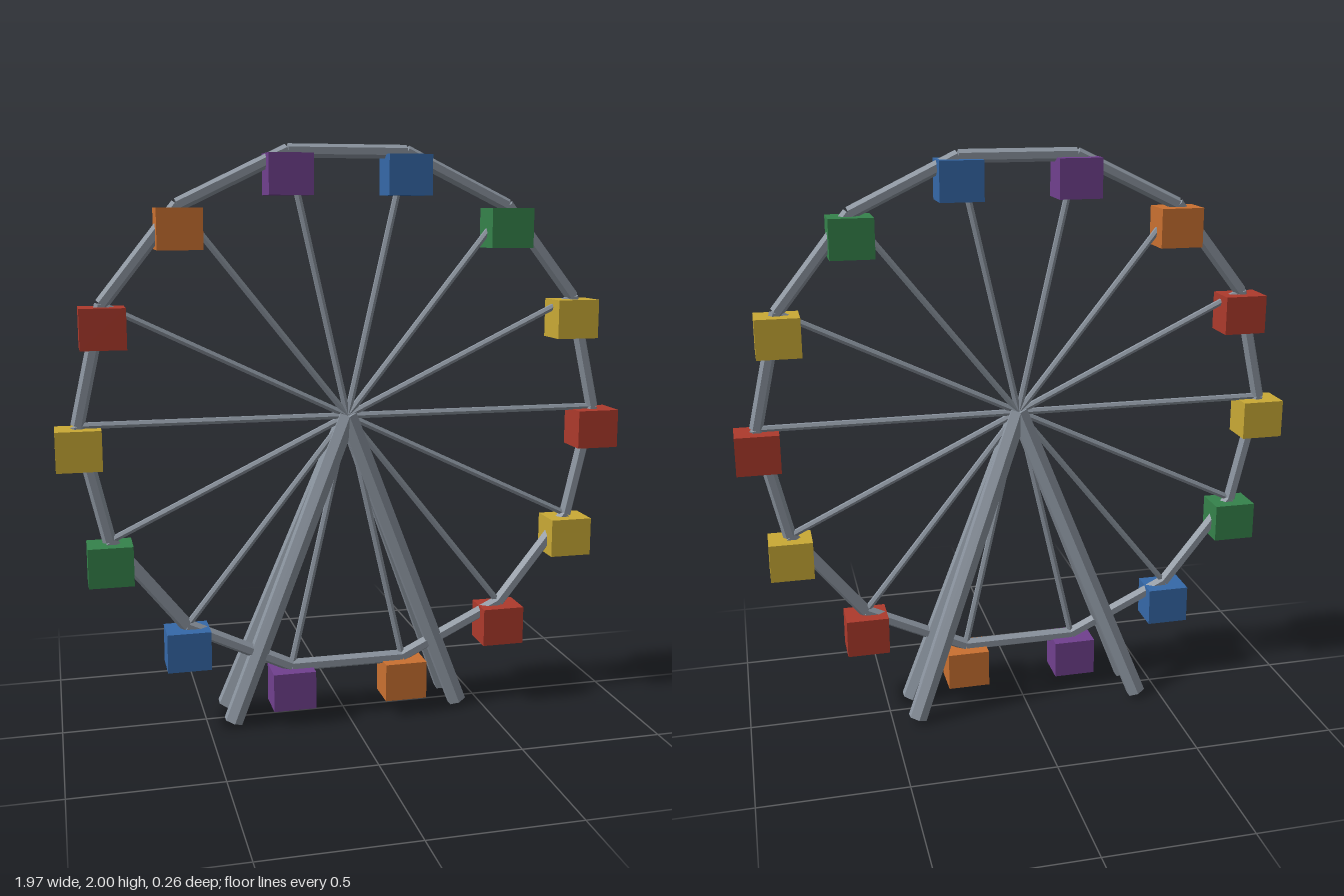
import * as THREE from 'three';

const COUNT = 14, RADIUS = 0.91;
const HUB = new THREE.Vector3(0, 1.09, 0.068);

function material(name, color) {
  const m = new THREE.MeshStandardMaterial({ color });
  m.name = name;
  m.flatShading = true;
  return m;
}

// six-sided bar between two points, turned about its own axis by roll
function bar(name, a, b, radius, mat, roll = 0) {
  const dir = b.clone().sub(a);
  const geo = new THREE.CylinderGeometry(radius, radius, dir.length(), 6);
  geo.rotateY(roll);
  const mesh = new THREE.Mesh(geo, mat);
  mesh.name = name;
  mesh.position.copy(a).add(b).multiplyScalar(0.5);
  mesh.quaternion.setFromUnitVectors(new THREE.Vector3(0, 1, 0), dir.normalize());
  return mesh;
}

export function createModel() {
  const model = new THREE.Group();
  model.name = 'ferrisWheel';
  const steel = material('steel', 0x8a939e);
  const paints = [
    material('red', 0xad3a2c), material('yellow', 0xc9a935),
    material('green', 0x35824b), material('blue', 0x3568a8),
    material('purple', 0x70408e), material('orange', 0xc97030),
  ];

  const node = (i) => {
    const t = (i / COUNT) * Math.PI * 2;
    return new THREE.Vector3(Math.cos(t) * RADIUS, Math.sin(t) * RADIUS, 0).add(HUB);
  };

  // wheel: rim segments with an edge facing outward, spokes and hanging cabins
  const wheel = new THREE.Group();
  wheel.name = 'wheel';
  const cabinGeo = new THREE.BoxGeometry(0.15, 0.135, 0.125);
  for (let i = 0; i < COUNT; i++) {
    const p = node(i);
    wheel.add(bar('rimSegment', p, node(i + 1), 0.023, steel, Math.PI / 2));
    wheel.add(bar('spoke', HUB, p, 0.012, steel));
    const cabin = new THREE.Mesh(cabinGeo, paints[i % paints.length]);
    cabin.name = 'cabin';
    cabin.position.set(p.x, p.y - 0.076, p.z);
    wheel.add(cabin);
  }
  model.add(wheel);

  // support legs: an upright pair in the wheel's plane and a pair leaning back
  for (const side of [-1, 1]) {
    for (const [name, z] of [['frontLeg', HUB.z], ['backLeg', -0.093]]) {
      const foot = new THREE.Vector3(side * 0.413, 0.015, z);
      model.add(bar(name, foot, HUB, 0.035, steel));
    }
  }
  return model;
}
